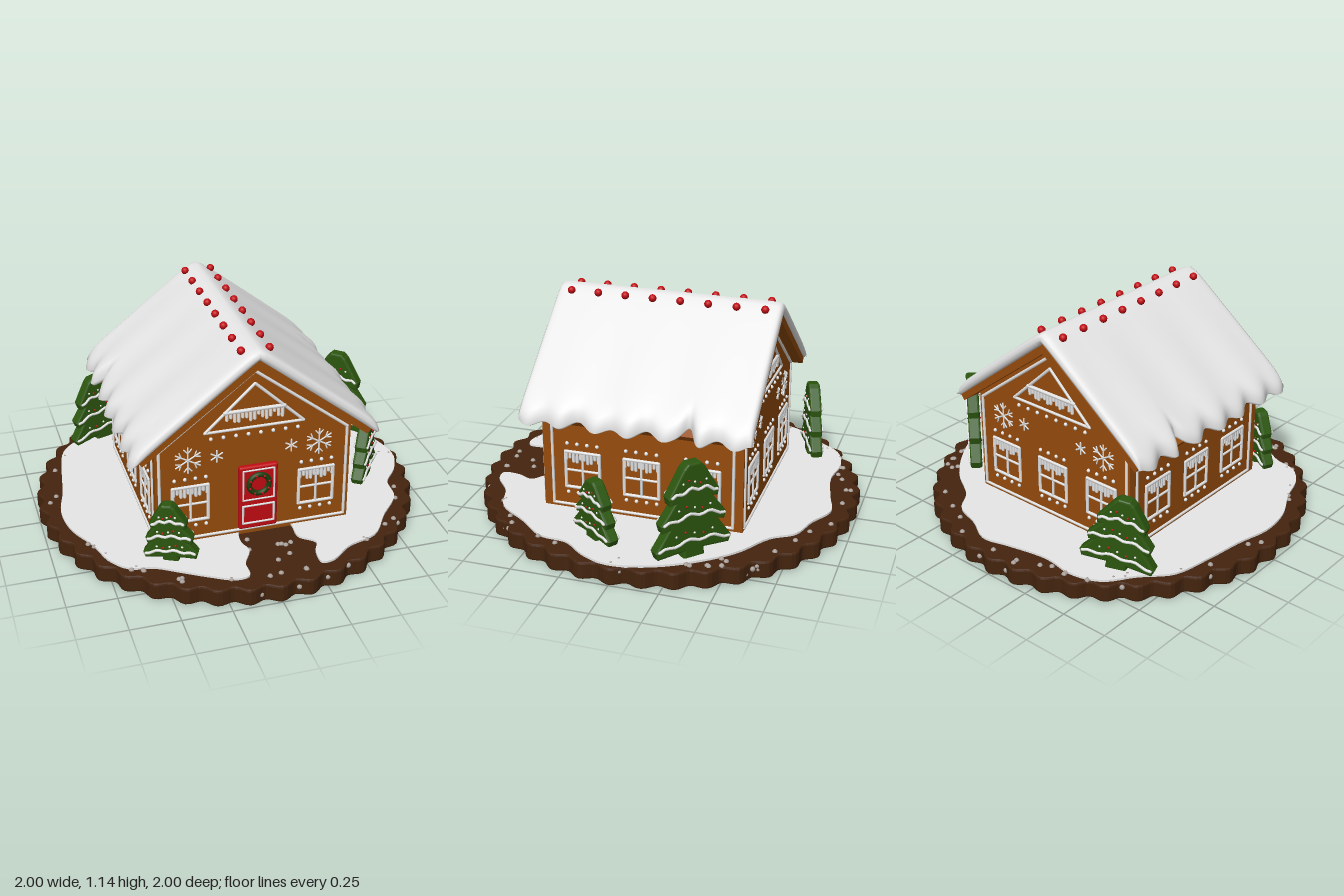
import * as THREE from 'three';
import { mergeGeometries, mergeVertices } from 'three/addons/utils/BufferGeometryUtils.js';
import { RoundedBoxGeometry } from 'three/addons/geometries/RoundedBoxGeometry.js';
import { ParametricGeometry } from 'three/addons/geometries/ParametricGeometry.js';

const mat = (name, color) => Object.assign(new THREE.MeshStandardMaterial({ color }), { name });
const V = (x, y, z = 0) => new THREE.Vector3(x, y, z);

export function createModel() {
  const model = new THREE.Group();
  model.name = 'gingerbreadHouse';
  const gingerbread = mat('gingerbread', 0x964c0c);
  const chocolate = mat('chocolate', 0x44240e);
  const icing = mat('icing', 0xeaeaea);
  const sprinkleGrey = mat('sprinkle', 0xa9a09a);
  const red = mat('candyRed', 0xc00c12);
  const green = mat('treeGreen', 0x2c560f);
  const darkGreen = mat('wreathGreen', 0x1f3d0c);

  const add = (parent, name, geo, material) => {
    const m = new THREE.Mesh(geo, material);
    m.name = name;
    parent.add(m);
    return m;
  };

  // Piped icing: rounded sticks along a polyline, and flattened dots
  const pipe = (list, pts, r = 0.007, closed = false) => {
    const n = closed ? pts.length : pts.length - 1;
    for (let i = 0; i < n; i++) {
      const a = pts[i], b = pts[(i + 1) % pts.length], d = b.clone().sub(a);
      const g = new THREE.CapsuleGeometry(r, d.length(), 2, 6);
      g.applyQuaternion(new THREE.Quaternion().setFromUnitVectors(V(0, 1, 0), d.normalize()));
      const mid = a.clone().add(b).multiplyScalar(0.5);
      list.push(g.translate(mid.x, mid.y, mid.z));
    }
  };
  const dot = (list, x, y, z = 0, r = 0.01) =>
    list.push(new THREE.SphereGeometry(r, 8, 6).translate(x, y, z));
  const rect = (x0, y0, x1, y1) => [V(x0, y0), V(x1, y0), V(x1, y1), V(x0, y1)];
  const drips = (list, x0, x1, y, max) => {
    const n = Math.round((x1 - x0) / 0.02);
    for (let i = 0; i <= n; i++) {
      const x = x0 + (x1 - x0) * i / n;
      const len = max * (0.35 + 0.65 * Math.abs(Math.sin(i * 2.3 + 0.6)));
      pipe(list, [V(x, y), V(x, y - len)], 0.009);
    }
  };
  const windowIcing = (list, x) => {
    pipe(list, rect(x - 0.09, 0.22, x + 0.09, 0.415), 0.009, true);
    pipe(list, [V(x, 0.22), V(x, 0.41)]);
    pipe(list, [V(x - 0.09, 0.315), V(x + 0.09, 0.315)]);
    drips(list, x - 0.085, x + 0.085, 0.41, 0.05);
    for (let i = 0; i < 4; i++) {
      dot(list, x - 0.08 + i * 0.053, 0.46);
      dot(list, x - 0.08 + i * 0.053, 0.19);
    }
  };
  const snowflake = (list, x, y, r) => {
    for (let i = 0; i < 6; i++) {
      const at = (rad, off) => {
        const a = i * Math.PI / 3 + Math.PI / 6 + off;
        return V(x + rad * Math.cos(a), y + rad * Math.sin(a));
      };
      pipe(list, [V(x, y), at(r, 0)], 0.0045);
      if (r > 0.05) pipe(list, [at(r * 0.9, 0.3), at(r * 0.55, 0), at(r * 0.9, -0.3)], 0.004);
    }
  };

  // Scalloped chocolate base
  const rim = [];
  for (let i = 0; i < 320; i++) {
    const a = i / 320 * Math.PI * 2, r = 0.975 + 0.017 * Math.cos(a * 40);
    rim.push(new THREE.Vector2(r * Math.cos(a), r * Math.sin(a)));
  }
  const base = new THREE.ExtrudeGeometry(new THREE.Shape(rim),
    { depth: 0.07, bevelEnabled: true, bevelSize: 0.008, bevelThickness: 0.01, bevelSegments: 2 });
  add(model, 'base', base.rotateX(-Math.PI / 2).translate(0, 0.01, 0), chocolate);

  // Snow blanket with an opening for the path (x, z pairs)
  const outline = [-0.06, 0.5, -0.09, 0.6, -0.07, 0.68, -0.12, 0.78, -0.13, 0.88, -0.2, 0.89, -0.32, 0.83, -0.45, 0.75,
    -0.55, 0.69, -0.67, 0.66, -0.75, 0.57, -0.8, 0.42, -0.88, 0.25, -0.9, 0.08, -0.86, -0.1, -0.83, -0.3, -0.78, -0.52,
    -0.66, -0.65, -0.55, -0.79, -0.4, -0.84, -0.22, -0.82, 0, -0.86, 0.14, -0.89, 0.28, -0.82, 0.42, -0.77, 0.5, -0.66,
    0.68, -0.54, 0.82, -0.38, 0.93, -0.18, 0.97, 0.02, 0.92, 0.16, 0.83, 0.28, 0.81, 0.42, 0.69, 0.57, 0.58, 0.72,
    0.42, 0.78, 0.3, 0.87, 0.24, 0.87, 0.24, 0.78, 0.27, 0.7, 0.2, 0.63, 0.19, 0.5];
  const edge = [];
  for (let i = 0; i < outline.length; i += 2) edge.push(V(outline[i], -outline[i + 1]));
  const edgePts = new THREE.CatmullRomCurve3(edge, true).getPoints(200).slice(0, 200);
  const blanket = new THREE.ExtrudeGeometry(new THREE.Shape(edgePts.map(p => new THREE.Vector2(p.x, p.y))),
    { depth: 0.013, bevelEnabled: false });
  add(model, 'groundSnow', blanket.rotateX(-Math.PI / 2).translate(0, 0.088, 0), icing);

  // Sprinkles around the rim and on the path
  let seed = 7;
  const rnd = () => (seed = (seed * 16807) % 2147483647) / 2147483647;
  const sprinkles = [];
  for (let i = 0; i < 46; i++) {
    const a = rnd() * Math.PI * 2, r = 0.89 + rnd() * 0.07;
    dot(sprinkles, r * Math.cos(a), 0.089, r * Math.sin(a), 0.014);
  }
  for (let i = 0; i < 12; i++) dot(sprinkles, -0.07 + rnd() * 0.25, 0.089, 0.58 + rnd() * 0.35, 0.014);
  for (let i = 0; i < 24; i++) {
    const a = rnd() * Math.PI * 2;
    dot(sprinkles, 0.968 * Math.cos(a), 0.03 + rnd() * 0.04, 0.968 * Math.sin(a), 0.014);
  }
  add(model, 'sprinkles', mergeGeometries(sprinkles), sprinkleGrey);

  // Walls: gabled prism
  const prism = (pts, depth) => new THREE.ExtrudeGeometry(
    new THREE.Shape(pts.map(p => new THREE.Vector2(...p))), { depth, bevelEnabled: false }).translate(0, 0, -depth / 2);
  add(model, 'walls', prism([[-0.5, 0.09], [0.5, 0.09], [0.5, 0.65], [0, 1.04], [-0.5, 0.65]], 1.04), gingerbread);
  // Roof boards
  add(model, 'roofBoards', prism([[0, 1.03], [0.57, 0.595], [0.59, 0.622], [0, 1.08], [-0.59, 0.622], [-0.57, 0.595]], 1.14),
    gingerbread);

  // Roof snow: rounded sheet folded over the ridge with a wavy eave
  const roofSnow = (u, v, out) => {
    const f = 2 * v - 1, z = 0.008 + 0.592 * f;
    const top = u < 0.5, s = top ? 1 - 4 * u : 4 * u - 3;
    const k = Math.sin(s * Math.PI / 2) * 0.5 + s * 0.5;
    const eave = 0.622 + 0.016 * Math.sin(z * 36 + 0.6) + 0.008 * Math.sin(z * 17)
      - 0.06 * Math.exp(-(((z + 0.27) / 0.035) ** 2));
    const x = k * eave;
    const round = Math.sqrt(Math.max(0, 1 - Math.abs(f) ** 30)) * Math.sqrt(Math.max(0, 1 - Math.abs(k) ** 30));
    const under = 1.078 - 0.78 * Math.abs(x);
    const over = 1.16 - 0.785 * Math.sqrt(x * x + 0.0009) + 0.007 * Math.sin(z * 18 + 1) * Math.abs(k);
    const mid = (under + over) / 2 - 0.02 * Math.abs(k) ** 20;
    out.set(x, mid + (top ? 1 : -1) * (over - under) / 2 * round, z);
  };
  let snow = new ParametricGeometry(roofSnow, 96, 120);
  snow.deleteAttribute('normal');
  snow.deleteAttribute('uv');
  snow = mergeVertices(snow, 1e-5);
  snow.computeVertexNormals();
  add(model, 'roofSnow', snow, icing);

  // Candies along the ridge
  const candies = [];
  for (let i = 0; i < 8; i++) for (const s of [-1, 1]) {
    candies.push(new THREE.SphereGeometry(0.02, 14, 10).translate(s * 0.07, 1.112, 0.515 - i * 0.145));
  }
  add(model, 'ridgeCandies', mergeGeometries(candies), red);

  // Icing on the four walls
  const wall = (name, angle, dist, draw) => {
    const list = [], g = new THREE.Group();
    draw(list);
    g.name = name;
    g.rotation.y = angle;
    g.position.set(Math.sin(angle) * dist, 0, Math.cos(angle) * dist);
    add(g, name + 'Icing', mergeGeometries(list), icing);
    model.add(g);
    return g;
  };
  const gable = list => {
    pipe(list, [V(-0.48, 0.12), V(0.48, 0.12), V(0.48, 0.63), V(0, 1.0), V(-0.48, 0.63)], 0.008, true);
    pipe(list, [V(-0.25, 0.7), V(0.25, 0.7), V(0, 0.935)], 0.008, true);
    pipe(list, [V(-0.15, 0.795), V(0.15, 0.795)], 0.011);
    drips(list, -0.14, 0.14, 0.795, 0.055);
    for (let i = 0; i < 8; i++) dot(list, -0.22 + i * 0.063, 0.665);
    for (const s of [-1, 1]) {
      snowflake(list, s * 0.335, 0.565, 0.07);
      snowflake(list, s * 0.19, 0.565, 0.032);
    }
  };
  const side = list => {
    pipe(list, [V(-0.47, 0.62), V(-0.47, 0.12), V(0.47, 0.12), V(0.47, 0.62)], 0.008);
    for (const x of [-0.31, 0, 0.31]) windowIcing(list, x);
  };
  const front = wall('frontWall', 0, 0.522, l => { gable(l); windowIcing(l, -0.325); windowIcing(l, 0.325); });
  wall('backWall', Math.PI, 0.522, l => { gable(l); for (const x of [-0.32, 0, 0.32]) windowIcing(l, x); });
  wall('leftWall', Math.PI / 2, 0.502, side);
  wall('rightWall', -Math.PI / 2, 0.502, side);

  // Door with raised frame, panels and wreath
  const door = new THREE.Group();
  door.name = 'door';
  door.position.set(0.018, 0, 0.005);
  front.add(door);
  add(door, 'doorSlab', new RoundedBoxGeometry(0.2, 0.36, 0.035, 3, 0.012).translate(0, 0.31, 0), red);
  const doorIcing = [];
  pipe(doorIcing, rect(-0.08, 0.3, 0.08, 0.468), 0.005, true);
  pipe(doorIcing, rect(-0.08, 0.165, 0.08, 0.265), 0.006, true);
  add(door, 'doorIcing', mergeGeometries(doorIcing).translate(0, 0, 0.018), icing);
  add(door, 'wreath', new THREE.TorusGeometry(0.052, 0.014, 8, 28).translate(0, 0.39, 0.022), darkGreen);
  const berries = [];
  for (let i = 0; i < 8; i++) {
    const a = i * Math.PI / 4 + 0.3;
    dot(berries, 0.052 * Math.cos(a), 0.39 + 0.052 * Math.sin(a), 0.035, 0.006);
  }
  add(door, 'wreathBerries', mergeGeometries(berries), red);

  // Biscuit trees: half outline (x in half-widths, y in heights)
  const half = [[0.24, 0], [0.22, 0.1], [0.96, 0.08], [1, 0.13], [0.62, 0.37], [0.82, 0.36], [0.85, 0.41],
    [0.46, 0.64], [0.62, 0.64], [0.64, 0.69], [0.24, 0.96], [0.14, 1]];
  const tree = (x, z, w, h, turn, lean) => {
    const g = new THREE.Group(), b = 0.012, W = w / 2 - b, H = h - b;
    const pts = [...half, ...half.map(([px, py]) => [-px, py]).reverse()];
    const shape = new THREE.Shape(pts.map(([px, py]) => new THREE.Vector2(px * W, py * H)));
    add(g, 'treeBody', new THREE.ExtrudeGeometry(shape, { depth: 0.04, bevelEnabled: true, bevelSize: b,
      bevelThickness: b, bevelSegments: 3 }).translate(0, 0, -0.02), green);
    const lines = [], reds = [];
    for (const f of [-1, 1]) {
      for (const [hw, y] of [[0.98, 0.14], [0.84, 0.42], [0.62, 0.7]]) {
        const wave = [];
        for (let i = 0; i <= 14; i++) {
          const t = i / 7 - 1;
          wave.push(V(t * hw * W, (y + 0.055 * (1 - t * t) + 0.018 * Math.sin(t * 9)) * H, f * 0.034));
        }
        pipe(lines, wave, 0.008);
        for (let i = -2; i <= 2; i++) {
          dot(i % 2 ? reds : lines, i * hw * W * 0.26, (y + 0.13 + (i % 2) * 0.025) * H, f * 0.032, 0.006);
        }
      }
    }
    add(g, 'treeIcing', mergeGeometries(lines), icing);
    add(g, 'treeBaubles', mergeGeometries(reds), red);
    g.name = 'tree';
    g.position.set(x, 0.1, z);
    g.rotation.set(0, turn, lean);
    model.add(g);
  };
  tree(-0.53, -0.65, 0.38, 0.39, 0.35, 0.12);
  tree(0.76, -0.335, 0.41, 0.49, -0.75, 0);
  tree(0.74, 0.155, 0.31, 0.31, 0.95, 0);
  tree(-0.45, 0.63, 0.27, 0.31, -0.45, 0.06);

  return model;
}
